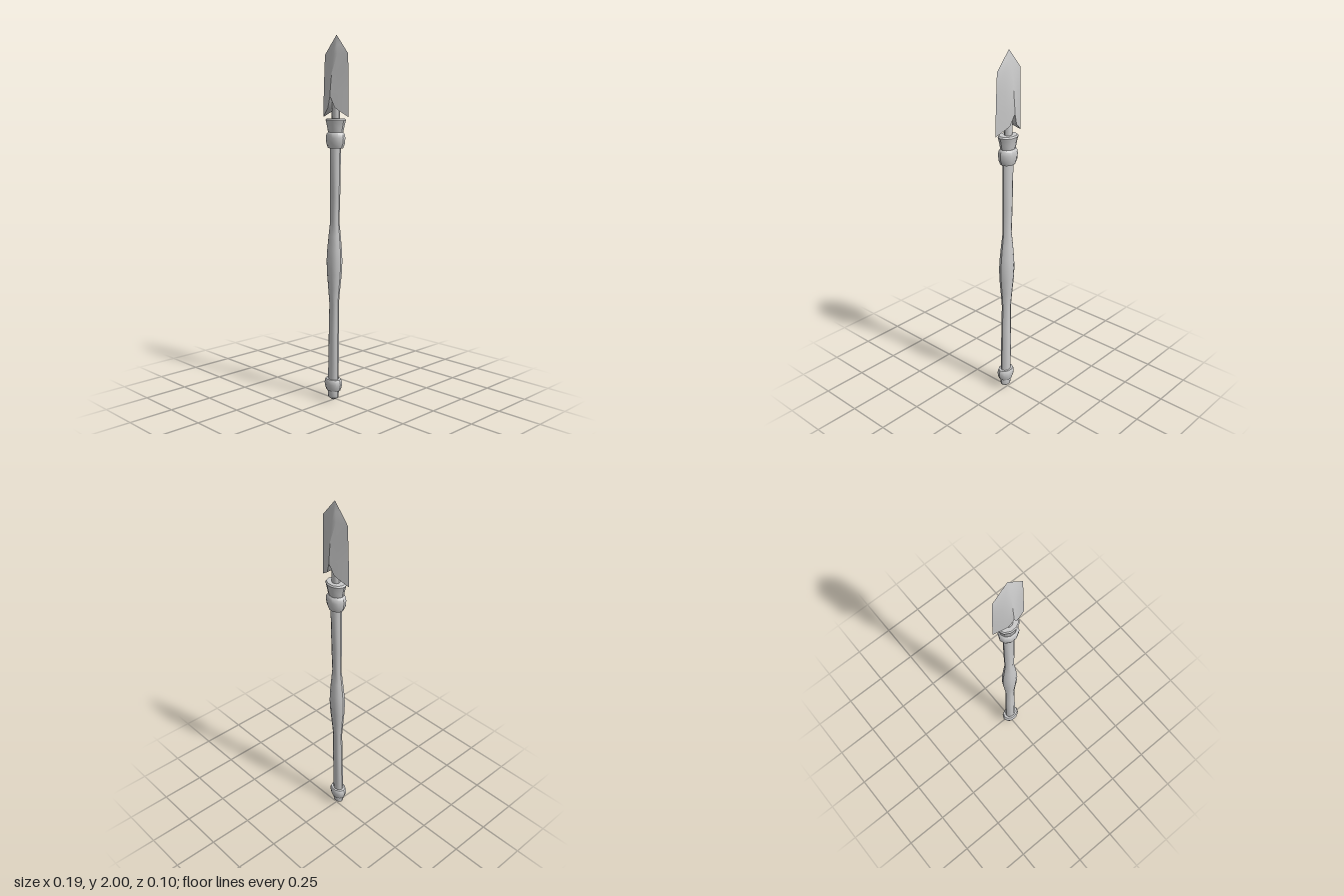
import * as THREE from 'three';
import { toCreasedNormals } from 'three/addons/utils/BufferGeometryUtils.js';

const SIDES = 10;
const material = new THREE.MeshStandardMaterial({ color: 0xcccccc });

// Ten-sided turned part, flattened front to back; profile is [radius, y] from the bottom up
function turned(name, profile, depth = 0.79) {
  const points = profile.map(([r, y]) => new THREE.Vector2(r, y));
  const geometry = new THREE.LatheGeometry(points, SIDES, Math.PI / SIDES);
  geometry.scale(1, 1, depth);
  const mesh = new THREE.Mesh(toCreasedNormals(geometry, 0.7), material);
  mesh.name = name;
  return mesh;
}

// Ridged blade made of diamond cross-sections with a notched, barbed base
function blade() {
  const columns = [-1, -0.5, -0.26, 0, 0.26, 0.5, 1];
  const baseY = [1.57, 1.603, 1.62, 1.68, 1.62, 1.603, 1.57];
  // [y, half width, half depth]
  const rows = [
    [null, 0.097, 0.045], [1.7, 0.094, 0.044], [1.8, 0.091, 0.034],
    [1.9, 0.087, 0.021], [1.95, 0.044, 0.011], [2.0, 0, 0],
  ];
  const point = (i, j, side) => {
    const [y, w, d] = rows[i];
    const u = columns[j];
    return [u * w, y ?? baseY[j], side * d * Math.pow(1 - Math.abs(u), 0.88)];
  };
  const positions = [];
  const quad = (a, b, c, d) => positions.push(...a, ...b, ...c, ...a, ...c, ...d);

  for (let j = 0; j < columns.length - 1; j++) {
    for (let i = 0; i < rows.length - 1; i++) {
      quad(point(i, j, 1), point(i, j + 1, 1), point(i + 1, j + 1, 1), point(i + 1, j, 1));
      quad(point(i, j + 1, -1), point(i, j, -1), point(i + 1, j, -1), point(i + 1, j + 1, -1));
    }
    // underside
    quad(point(0, j, -1), point(0, j + 1, -1), point(0, j + 1, 1), point(0, j, 1));
  }
  const geometry = new THREE.BufferGeometry();
  geometry.setAttribute('position', new THREE.Float32BufferAttribute(positions, 3));
  const mesh = new THREE.Mesh(toCreasedNormals(geometry, 0.6), material);
  mesh.name = 'blade';
  return mesh;
}

export function createModel() {
  const model = new THREE.Group();
  model.name = 'spear';

  model.add(
    // small cap below the pommel
    turned('buttCap', [[0, 0.003], [0.014, 0.008], [0.032, 0.02], [0.035, 0.035], [0.035, 0.065]], 0.74),
    turned('pommel', [[0, 0.06], [0.044, 0.06], [0.052, 0.08], [0.055, 0.1], [0.053, 0.115], [0.048, 0.125], [0, 0.125]], 0.76),
    // shaft with a swollen grip in the middle
    turned('shaft', [
      [0.033, 0.12], [0.031, 0.4], [0.029, 0.55], [0.037, 0.64], [0.045, 0.72], [0.048, 0.79],
      [0.045, 0.85], [0.037, 0.93], [0.028, 1.01], [0.031, 1.15], [0.033, 1.42],
    ]),
    turned('collar', [[0, 1.405], [0.045, 1.405], [0.055, 1.43], [0.058, 1.46], [0.055, 1.48], [0.046, 1.49], [0, 1.49]], 0.8),
    turned('socket', [[0.045, 1.485], [0.051, 1.515], [0.057, 1.54], [0.062, 1.555], [0.055, 1.563], [0, 1.563]], 0.76),
    turned('stem', [[0.024, 1.555], [0.023, 1.7], [0, 1.7]], 0.85),
    blade(),
  );

  // slight lean toward the back
  model.rotation.x = -0.0128;
  model.position.z = 0.016;
  return model;
}
